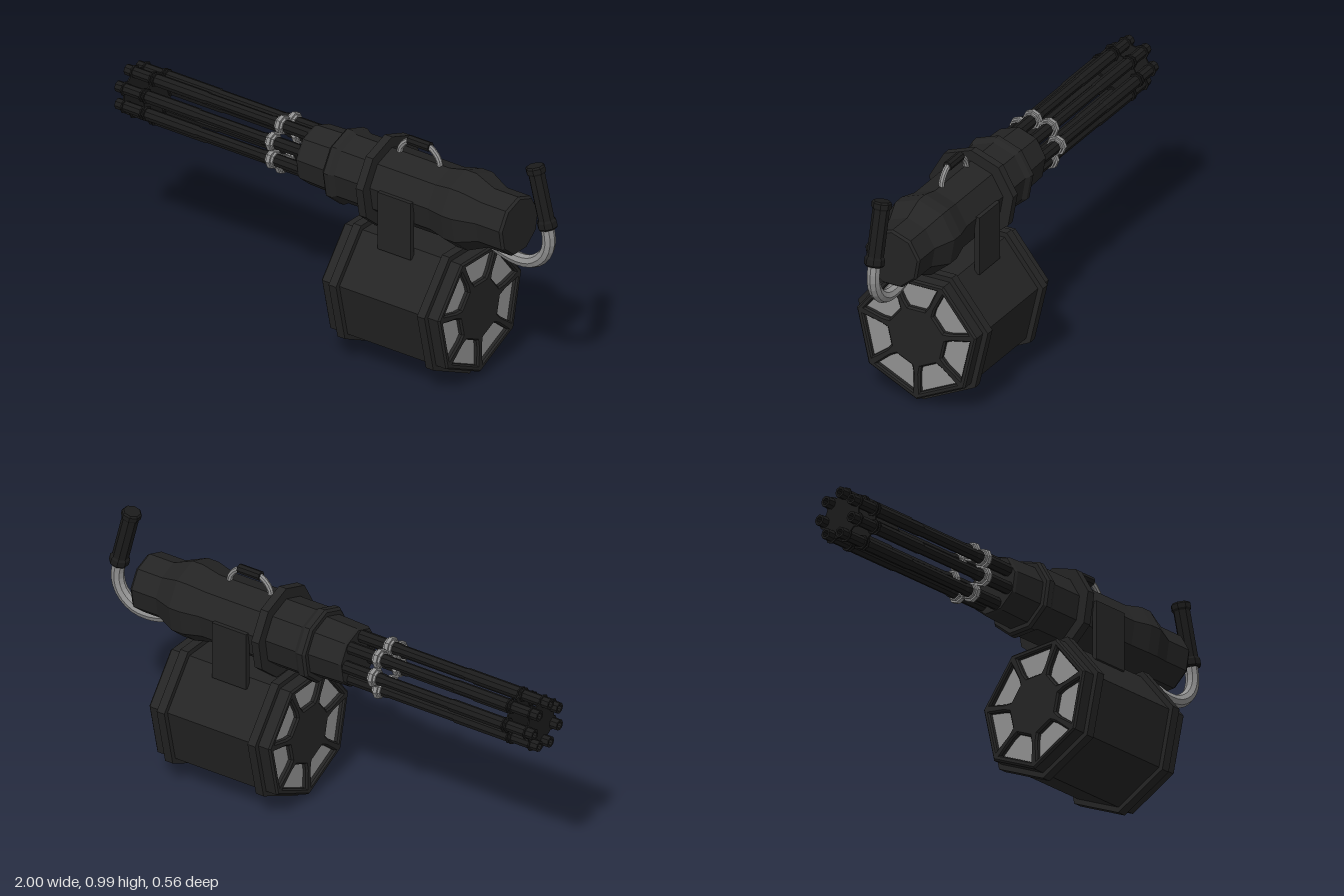
import * as THREE from 'three';

const AXIS_Y = 0.706;   // height of the barrel axis
const DRUM = { x: 0.3675, y: 0.29, half: 0.2775 };

const mats = {
  body: new THREE.MeshStandardMaterial({ color: 0x242424 }),
  barrel: new THREE.MeshStandardMaterial({ color: 0x1b1b1b }),
  steel: new THREE.MeshStandardMaterial({ color: 0x909090 }),
};
for (const [key, name] of [['body', 'dark gunmetal'], ['barrel', 'black metal'], ['steel', 'grey steel']]) {
  mats[key].name = name;
}

// Faceted normals
function flat(geo) {
  const g = geo.index ? geo.toNonIndexed() : geo;
  g.computeVertexNormals();
  return g;
}

function add(parent, name, geo, mat, x = 0, y = 0, z = 0) {
  const mesh = new THREE.Mesh(flat(geo), mat);
  mesh.name = name;
  mesh.position.set(x, y, z);
  parent.add(mesh);
  return mesh;
}

// Turned solid along +x from [x, radius] pairs; start sets the first corner
function turned(profile, sides, start = -Math.PI / 2) {
  const pts = profile.map(([x, r]) => new THREE.Vector2(r, x));
  return new THREE.LatheGeometry(pts, sides, start).rotateZ(-Math.PI / 2);
}

// Short solid disc along x, centred on its own middle
const disc = (r, w, sides, start) =>
  turned([[-w / 2, 0], [-w / 2, r], [w / 2, r], [w / 2, 0]], sides, start);

function tube(points, radius, steps, sides) {
  const curve = new THREE.CatmullRomCurve3(points.map(([x, y]) => new THREE.Vector3(x, y, 0)));
  return new THREE.TubeGeometry(curve, steps, radius, sides, false);
}

// Housing with collar, bulge and tapered rear
function buildHousing(root) {
  add(root, 'housing', turned([
    [0.01, 0], [0.01, 0.143], [0.02, 0.152], [0.042, 0.152], [0.06, 0.14], [0.5, 0.139],
    [0.575, 0.157], [0.625, 0.157], [0.71, 0.12], [0.82, 0.12], [0.83, 0.112], [0.83, 0],
  ], 9), mats.body, 0, AXIS_Y);
  add(root, 'frontShroud', turned([
    [-0.135, 0], [-0.135, 0.115], [-0.125, 0.121], [0.02, 0.126], [0.02, 0],
  ], 9), mats.body, 0, AXIS_Y);
  add(root, 'housingFlange', disc(0.184, 0.034, 9), mats.body, 0.212, AXIS_Y);
}

// Seven barrels with sleeves, end plates and a steel clamp
function buildBarrels(root) {
  const cluster = new THREE.Group();
  cluster.name = 'barrelCluster';
  cluster.position.y = AXIS_Y;
  root.add(cluster);
  const barrel = turned([
    [-0.95, 0], [-0.95, 0.011], [-1, 0.013], [-1, 0.022], [-0.86, 0.022], [-0.855, 0.025],
    [-0.62, 0.025], [-0.615, 0.022], [-0.32, 0.022], [-0.31, 0.025], [-0.05, 0.025],
  ], 8);
  for (let i = 0; i < 7; i++) {
    const a = Math.PI + i * Math.PI * 2 / 7;
    const y = Math.sin(a) * 0.085, z = Math.cos(a) * 0.085;
    add(cluster, 'barrel', barrel, mats.barrel, 0, y, z);
    for (const x of [-0.965, -0.878, -0.864]) {
      add(cluster, 'barrelCollar', disc(0.029, 0.006, 8), mats.barrel, x, y, z);
    }
    add(cluster, 'clampRing', disc(0.039, 0.016, 8), mats.steel, -0.27, y, z);
    add(cluster, 'clampSleeve', disc(0.031, 0.036, 8), mats.steel, -0.27, y, z);
  }
  for (const x of [-0.965, -0.871]) {
    add(cluster, 'muzzlePlate', disc(0.088, 0.006, 14), mats.barrel, x);
  }
}

// End frame of the drum: heptagon with seven bevelled openings
function drumFrame() {
  const shape = new THREE.Shape();
  for (let i = 0; i < 7; i++) {
    const a = -Math.PI / 2 + i * Math.PI * 2 / 7;
    shape[i ? 'lineTo' : 'moveTo'](0.265 * Math.cos(a), 0.265 * Math.sin(a));
  }
  shape.closePath();
  const opening = [[0.215, 0.086], [0.145, 0.054], [0.12, 0.036], [0.12, -0.036], [0.145, -0.054], [0.215, -0.086]];
  for (let i = 0; i < 7; i++) {
    const t = Math.PI / 2 + i * Math.PI * 2 / 7, c = Math.cos(t), s = Math.sin(t);
    shape.holes.push(new THREE.Path(opening.map(([a, b]) => new THREE.Vector2(a * c - b * s, a * s + b * c))));
  }
  return new THREE.ExtrudeGeometry(shape, {
    depth: 0.018, bevelEnabled: true, bevelThickness: 0.007, bevelSize: 0.007, bevelOffset: -0.007, bevelSegments: 1,
  });
}

// Ammunition drum, apex down
function buildDrum(root) {
  const drum = new THREE.Group();
  drum.name = 'ammoDrum';
  drum.position.set(DRUM.x, DRUM.y, 0);
  root.add(drum);
  const down = Math.PI / 2;
  add(drum, 'drumCore', disc(0.265, 0.51, 7, down), mats.body);
  for (const side of [1, -1]) {
    add(drum, 'drumFlange', disc(0.287, 0.035, 7, down), mats.body, side * 0.2075);
    add(drum, 'drumWindows', disc(0.245, 0.008, 7, down), mats.steel, side * 0.2535);
    const frame = add(drum, 'drumFrame', drumFrame(), mats.body, side * (DRUM.half - 0.025));
    frame.rotation.y = side * Math.PI / 2;
    add(root, 'drumBracket', new THREE.BoxGeometry(0.155, 0.24, 0.022), mats.body, 0.352, 0.615, side * 0.14);
  }
}

// Carry handle on top
function buildCarryHandle(root) {
  add(root, 'carryHandleArch', tube(
    [[0.265, 0.83], [0.272, 0.865], [0.31, 0.902], [0.36, 0.905], [0.41, 0.902], [0.448, 0.865], [0.455, 0.83]],
    0.012, 18, 8), mats.steel);
  add(root, 'carryHandleGrip', disc(0.019, 0.1, 8), mats.barrel, 0.36, 0.905);
}

// Curved rear arm with upright grip
function buildRearHandle(root) {
  add(root, 'rearArm', tube(
    [[0.67, 0.615], [0.74, 0.583], [0.82, 0.566], [0.89, 0.576], [0.945, 0.62], [0.966, 0.68], [0.955, 0.76]],
    0.026, 16, 8), mats.steel);
  const grip = add(root, 'rearGrip', turned([
    [0, 0], [0, 0.034], [0.006, 0.039], [0.03, 0.039], [0.038, 0.033], [0.222, 0.033],
    [0.23, 0.039], [0.248, 0.039], [0.255, 0.033], [0.255, 0],
  ], 8, Math.PI / 8), mats.barrel, 0.962, 0.738);
  grip.rotation.z = Math.atan2(0.25, -0.063);
}

export function createModel() {
  const root = new THREE.Group();
  root.name = 'rotaryGun';
  buildHousing(root);
  buildBarrels(root);
  buildDrum(root);
  buildCarryHandle(root);
  buildRearHandle(root);
  return root;
}
